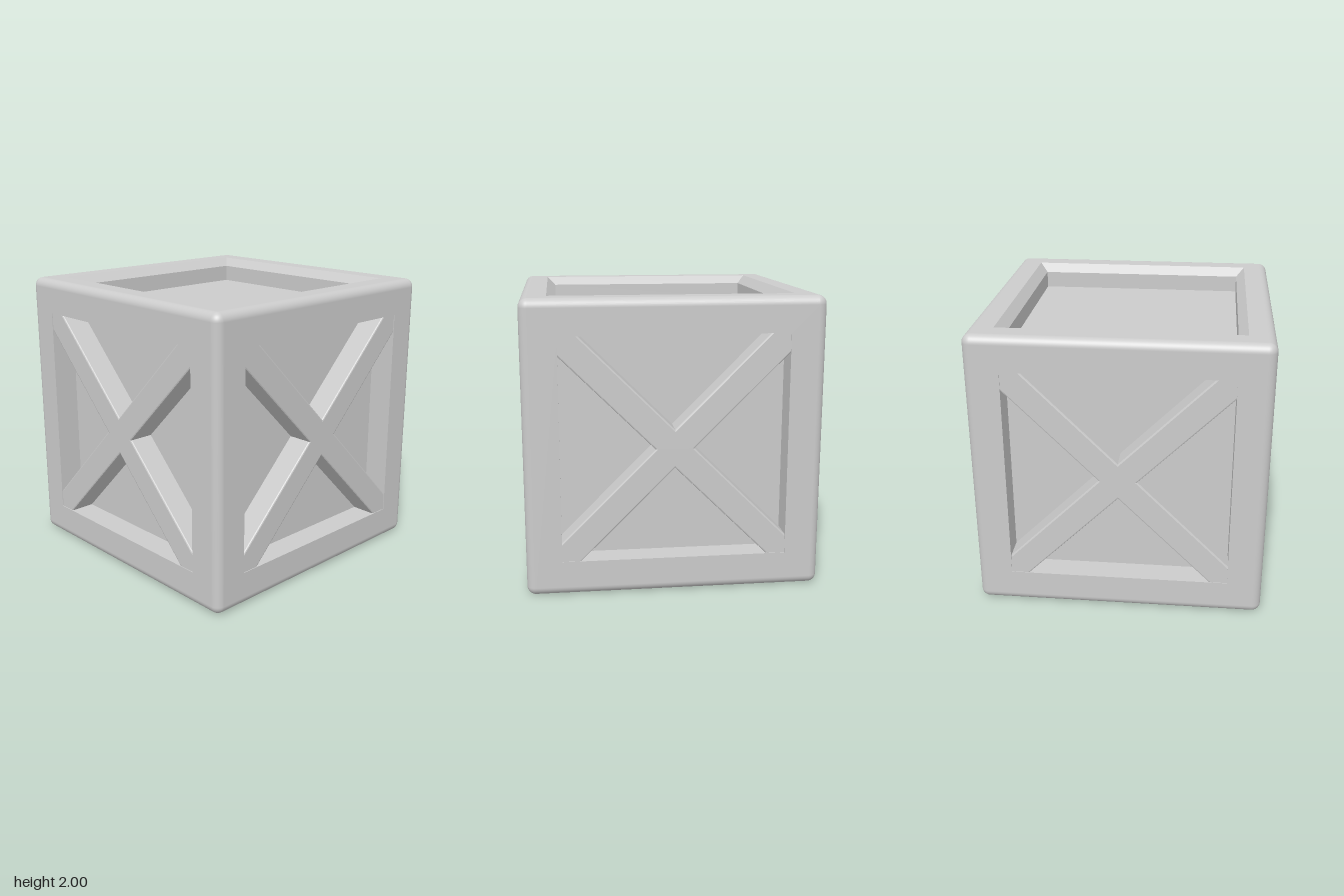
import * as THREE from 'three';
import { RoundedBoxGeometry } from 'three/addons/geometries/RoundedBoxGeometry.js';

const RADIUS = 0.06, FLAT = 1 - RADIUS; // edge rounding and flat half-width of a face
const OPEN = 0.76, FLOOR = 0.82;        // opening half-width, distance of inner panel from centre
const BAR = 0.13;                       // half-width of a brace measured along x or y

const material = new THREE.MeshStandardMaterial({ color: 0xcccccc });

function mesh(name, geometry) {
  const m = new THREE.Mesh(geometry, material);
  m.name = name;
  return m;
}

// Rounded edges and corners only: a rounded box without its six flat faces
function roundedEdges() {
  const box = new RoundedBoxGeometry(2, 2, 2, 5, RADIUS);
  const src = box.index ? box.toNonIndexed() : box;
  const pos = src.attributes.position, nor = src.attributes.normal;
  const p = [], n = [];
  for (let i = 0; i < pos.count; i += 3) {
    const flat = ['getX', 'getY', 'getZ'].some((get) =>
      [0, 1, 2].every((k) => Math.abs(pos[get](i + k)) > 0.99999));
    if (flat) continue;
    for (let k = i; k < i + 3; k++) {
      p.push(pos.getX(k), pos.getY(k), pos.getZ(k));
      n.push(nor.getX(k), nor.getY(k), nor.getZ(k));
    }
  }
  const g = new THREE.BufferGeometry();
  g.setAttribute('position', new THREE.Float32BufferAttribute(p, 3));
  g.setAttribute('normal', new THREE.Float32BufferAttribute(n, 3));
  return g;
}

// Square stepped surface facing +z; profile is [half-width, distance] from outside in
function squareRecess(profile) {
  const points = profile.map(([r, d]) => new THREE.Vector2(r * Math.SQRT2, d));
  const g = new THREE.LatheGeometry(points, 4, Math.PI / 4).toNonIndexed();
  g.computeVertexNormals();
  return g.rotateX(Math.PI / 2);
}

// Crossed braces, cut to the opening corners and tucked slightly under the frame
function crossBrace() {
  const e = OPEN + 0.012;
  const points = [];
  for (let q = 0; q < 4; q++) {
    for (const [x, y] of [[BAR, 0], [e, e - BAR], [e, e], [e - BAR, e]]) {
      points.push(new THREE.Vector2(x, y).rotateAround(new THREE.Vector2(), q * Math.PI / 2));
    }
  }
  const g = new THREE.ExtrudeGeometry(new THREE.Shape(points), {
    depth: 0.175, bevelEnabled: true, bevelThickness: 0.01,
    bevelSize: 0.01, bevelOffset: -0.01, bevelSegments: 2,
  });
  return g.translate(0, 0, 0.81);
}

export function createModel() {
  const crate = new THREE.Group();
  crate.name = 'crate';
  const body = new THREE.Group();
  body.name = 'body';
  body.position.y = 1;
  crate.add(body);

  body.add(mesh('frameEdges', roundedEdges()));

  // Four sides: straight recess with crossed braces
  const sideGeometry = squareRecess([[FLAT, 1], [OPEN, 1], [OPEN, FLOOR], [0, FLOOR]]);
  const braceGeometry = crossBrace();
  ['front', 'left', 'back', 'right'].forEach((name, i) => {
    const side = new THREE.Group();
    side.name = name + 'Side';
    side.rotation.y = i * Math.PI / 2;
    side.add(mesh('sidePanel', sideGeometry), mesh('crossBrace', braceGeometry));
    body.add(side);
  });

  // Top and bottom: recess with a chamfered rim
  const lidGeometry = squareRecess(
    [[FLAT, 1], [0.82, 1], [OPEN, 0.94], [OPEN, FLOOR], [0, FLOOR]]);
  for (const [name, turn] of [['topPanel', -1], ['bottomPanel', 1]]) {
    const panel = mesh(name, lidGeometry);
    panel.rotation.x = turn * Math.PI / 2;
    body.add(panel);
  }
  return crate;
}
